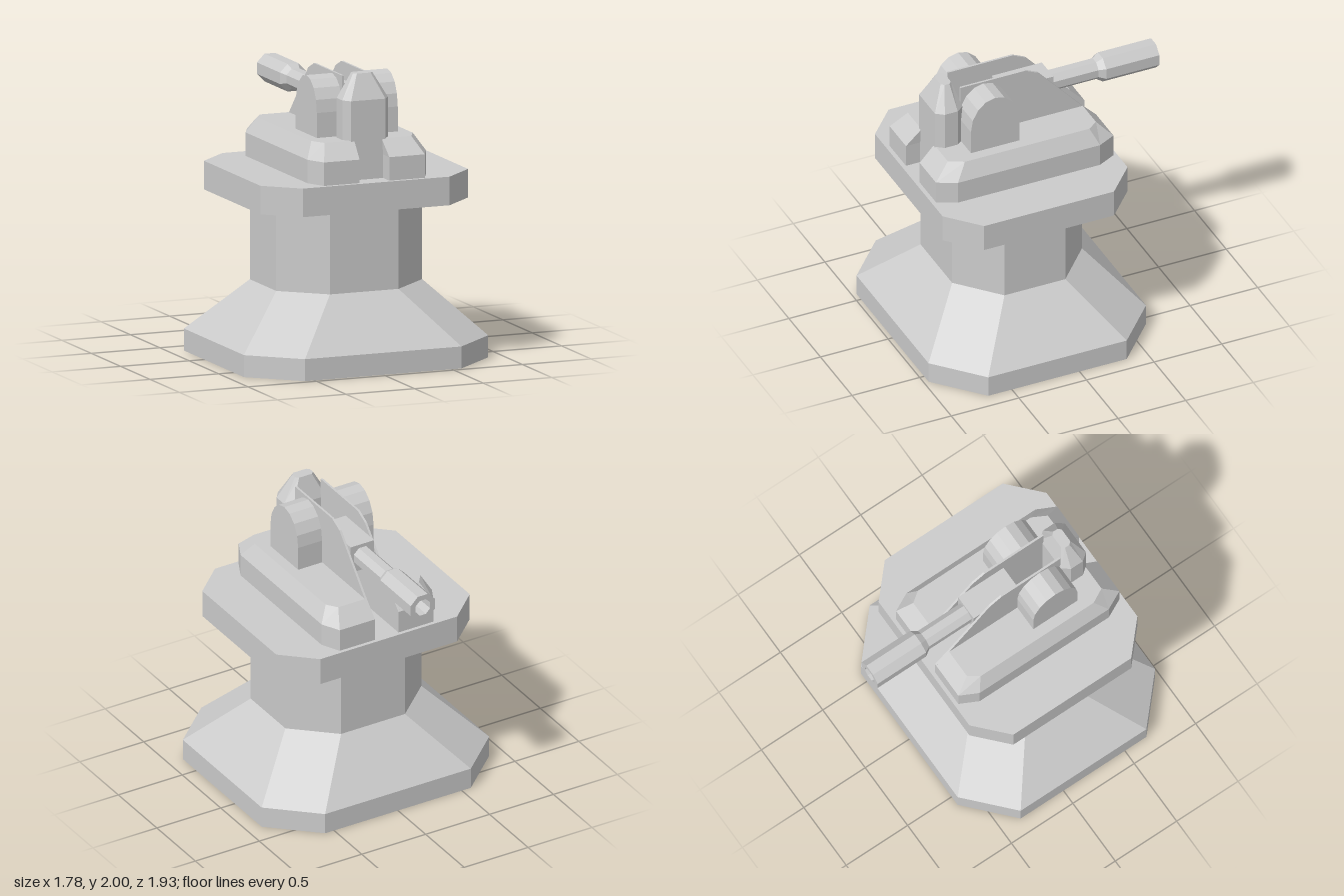
import * as THREE from 'three';

const grey = new THREE.MeshStandardMaterial({ color: 0xcccccc, flatShading: true });
const shell = new THREE.MeshStandardMaterial({ color: 0xcccccc, flatShading: true, side: THREE.DoubleSide });

const CZ = 0.163; // middle of the tower along z

// Chamfered rectangle: half sizes X, Z and half lengths of the straight sides fx, fz
function octagon(X, Z, fx, fz, cz = CZ) {
  return [[fx, Z], [X, fz], [X, -fz], [fx, -Z], [-fx, -Z], [-X, -fz], [-X, fz], [-fx, Z]]
    .map(([x, z]) => [x, z + cz]);
}

// Joins horizontal outlines [y, points] from bottom to top and caps the top
function loft(sections) {
  const pos = [];
  const rings = sections.map(([y, pts]) => pts.map(([x, z]) => [x, y, z]));
  const n = rings[0].length;
  for (let i = 0; i < rings.length - 1; i++) {
    for (let j = 0; j < n; j++) {
      const k = (j + 1) % n;
      const [a, b, c, d] = [rings[i][j], rings[i][k], rings[i + 1][k], rings[i + 1][j]];
      pos.push(...a, ...b, ...c, ...a, ...c, ...d);
    }
  }
  const top = rings[rings.length - 1];
  for (let j = 1; j < n - 1; j++) pos.push(...top[0], ...top[j], ...top[j + 1]);
  const geo = new THREE.BufferGeometry();
  geo.setAttribute('position', new THREE.Float32BufferAttribute(pos, 3));
  geo.computeVertexNormals();
  return geo;
}

// Side profile of [z, y] points, extruded from x0 to x1
function sidePlate(points, x0, x1) {
  const shape = new THREE.Shape(points.map(([z, y]) => new THREE.Vector2(-z, y)));
  return new THREE.ExtrudeGeometry(shape, { depth: x1 - x0, bevelEnabled: false })
    .rotateY(Math.PI / 2).translate(x0, 0, 0);
}

export function createModel() {
  const model = new THREE.Group();
  const add = (name, geo, mat = grey) => {
    const mesh = new THREE.Mesh(geo, mat);
    mesh.name = name;
    model.add(mesh);
  };

  // Hollow pedestal: flared foot, column and platform
  const foot = octagon(0.89, 0.804, 0.57, 0.512);
  const column = octagon(0.532, 0.48, 0.25, 0.225);
  const deck = octagon(0.757, 0.684, 0.535, 0.48);
  add('pedestal', loft([[0, foot], [0.15, foot], [0.51, column], [1.095, column], [1.095, deck], [1.29, deck]]), shell);

  // Arched outline of the side housings
  const arch = [[0.165, 1.5], [0.525, 1.5]];
  for (let i = 0; i <= 8; i++) {
    const a = (i / 8) * Math.PI;
    arch.push([0.345 + 0.18 * Math.cos(a), 1.73 + 0.228 * Math.sin(a)]);
  }
  const cheek = [[0.515, 1.29], [0.515, 1.97], [0.037, 1.97], [-0.06, 1.925],
    [-0.387, 1.56], [-0.495, 1.45], [-0.495, 1.29]];

  for (const side of [1, -1]) {
    const label = side > 0 ? 'left' : 'right';
    const span = (a, b) => (side > 0 ? [a, b] : [-b, -a]);

    // Long bevelled block beside the gun
    const outline = (inner, xa, xb, zf, zfc, zbc, zb) => {
      const pts = [[inner, zf], [xa, zf], [xb, zfc], [xb, zbc], [xa, zb], [inner, zb]];
      return side > 0 ? pts : pts.map(([x, z]) => [-x, z]).reverse();
    };
    const low = outline(0.108, 0.367, 0.432, 0.817, 0.685, -0.366, -0.495);
    const high = outline(0.1, 0.316, 0.37, 0.706, 0.605, -0.316, -0.39);
    add(label + 'SideBlock', loft([[1.29, low], [1.45, low], [1.56, high]]));

    add(label + 'Housing', sidePlate(arch, ...span(0.1, 0.295)));
    add(label + 'CheekPlate', sidePlate(cheek, ...span(0.092, 0.107)));
  }

  // Tapered post at the front of the mount
  const post = octagon(0.166, 0.102, 0.125, 0.048, 0.61);
  const tip = octagon(0.07, 0.038, 0.05, 0.018, 0.597);
  add('post', loft([[1.29, post], [1.83, post], [2, tip]]));

  // Breech between the cheek plates
  add('breech', new THREE.BoxGeometry(0.184, 0.2, 0.37).translate(0, 1.75, 0.005));

  // Eight-sided barrel with a thicker, hollow muzzle
  const profile = [[0, 0.1], [0.073, 0.1], [0.073, 0.525], [0.102, 0.57], [0.102, 0.963],
    [0.062, 0.963], [0.062, 0.75], [0, 0.75]].map(([r, l]) => new THREE.Vector2(r, l));
  add('barrel', new THREE.LatheGeometry(profile, 8, Math.PI / 8)
    .rotateX(-Math.PI / 2).translate(0, 1.757, 0));

  return model;
}
